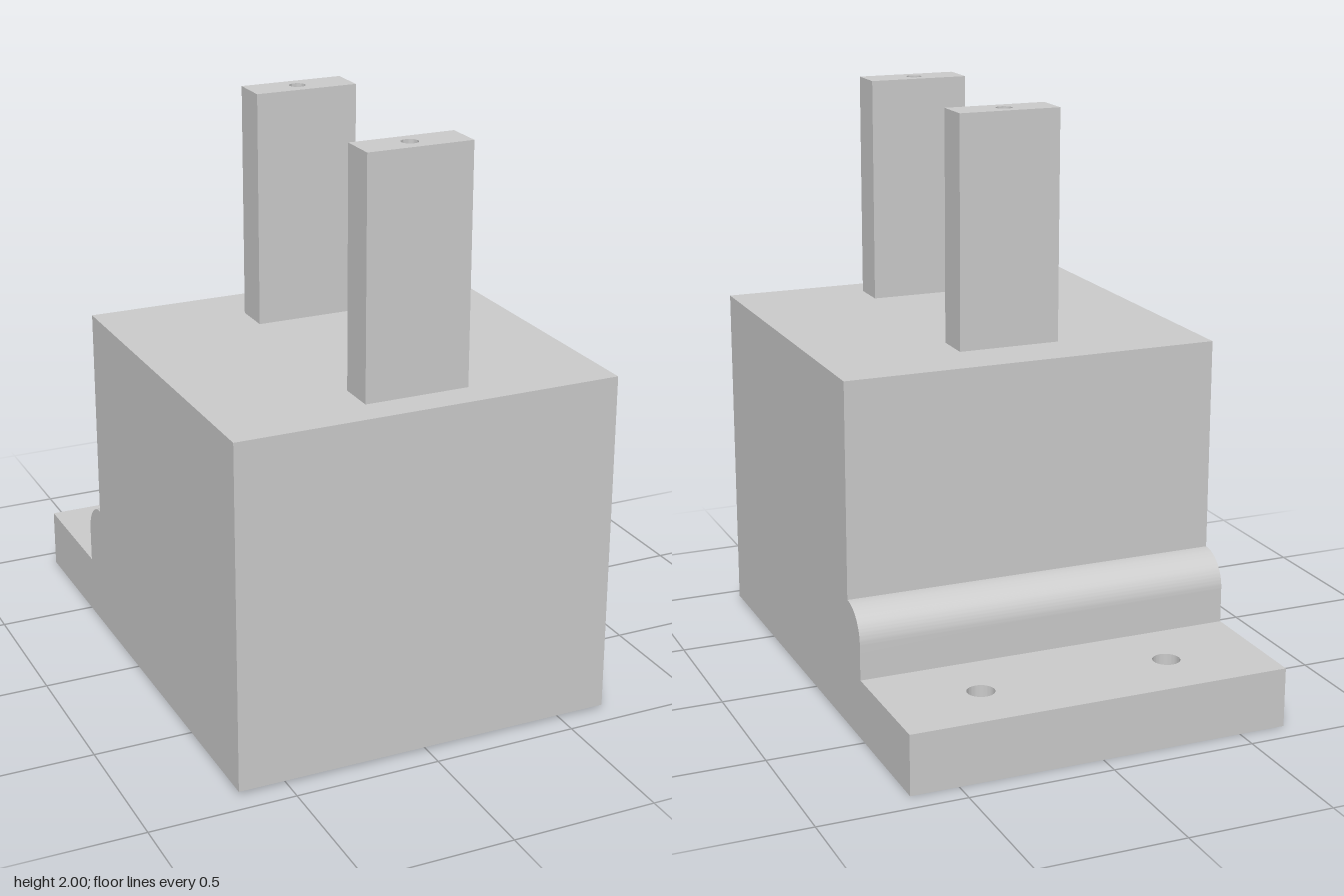
import * as THREE from 'three';
import { toCreasedNormals } from 'three/addons/utils/BufferGeometryUtils.js';

const HALF_W = 0.665, FRONT = 0.92, BACK = -0.92;
const BODY_BACK = -0.355, STEP_BACK = -0.472;
const PLATE_TOP = 0.207, ROOF_BOTTOM = 1.075, BODY_TOP = 1.188, POST_TOP = 1.988;
const CAVITY = [-0.55, 0.55, -0.225, 0.805];

const material = new THREE.MeshStandardMaterial({ color: 0xcccccc });

// Rectangle on the ground plane (shape y is -z)
function trace(path, [x0, x1, z0, z1]) {
  path.moveTo(x0, -z1);
  path.lineTo(x1, -z1);
  path.lineTo(x1, -z0);
  path.lineTo(x0, -z0);
  path.closePath();
  return path;
}

const drill = (x, z, r) => new THREE.Path().absarc(x, -z, r, 0, Math.PI * 2, true);

// Upright block from y0 to y1 with vertical openings
function block(name, rect, y0, y1, holes = []) {
  const shape = trace(new THREE.Shape(), rect);
  shape.holes.push(...holes);
  const geometry = new THREE.ExtrudeGeometry(shape, { depth: y1 - y0, bevelEnabled: false, curveSegments: 24 });
  geometry.rotateX(-Math.PI / 2).translate(0, y0, 0);
  const mesh = new THREE.Mesh(toCreasedNormals(geometry, 0.6), material);
  mesh.name = name;
  return mesh;
}

export function createModel() {
  const model = new THREE.Group();
  model.name = 'mountingBlock';
  const postHoles = [0.737, -0.093];
  const cavity = () => trace(new THREE.Path(), CAVITY);
  const bores = postHoles.map(z => drill(0, z, 0.028));

  // Base plate: hollow under the body, two screw holes in the rear flange
  model.add(block('basePlate', [-HALF_W, HALF_W, BACK, FRONT], 0, PLATE_TOP,
    [cavity(), drill(-0.335, -0.7, 0.047), drill(0.335, -0.7, 0.047)]));

  // Hollow body and its drilled roof
  const bodyRect = [-HALF_W, HALF_W, BODY_BACK, FRONT];
  model.add(block('bodyWalls', bodyRect, PLATE_TOP, ROOF_BOTTOM, [cavity()]));
  model.add(block('bodyRoof', bodyRect, ROOF_BOTTOM, BODY_TOP, bores));

  // Rounded step behind the body
  const r = BODY_BACK - STEP_BACK;
  const profile = new THREE.Shape();
  profile.moveTo(BODY_BACK, PLATE_TOP);
  profile.lineTo(BODY_BACK, 0.445);
  profile.absarc(BODY_BACK, 0.445 - r, r, Math.PI / 2, Math.PI, false);
  profile.lineTo(STEP_BACK, PLATE_TOP);
  profile.closePath();
  const stepGeometry = new THREE.ExtrudeGeometry(profile, { depth: 2 * HALF_W, bevelEnabled: false, curveSegments: 16 });
  stepGeometry.rotateY(-Math.PI / 2).translate(HALF_W, 0, 0);
  const step = new THREE.Mesh(toCreasedNormals(stepGeometry, 0.6), material);
  step.name = 'roundedStep';
  model.add(step);

  // Two drilled posts
  postHoles.forEach((z, i) => {
    model.add(block(i ? 'rearPost' : 'frontPost', [-0.175, 0.185, z - 0.065, z + 0.067],
      BODY_TOP, POST_TOP, [bores[i]]));
  });

  // Very slight backward lean
  model.rotation.x = -0.006;
  model.position.y = 0.006;
  const root = new THREE.Group();
  root.add(model);
  return root;
}
